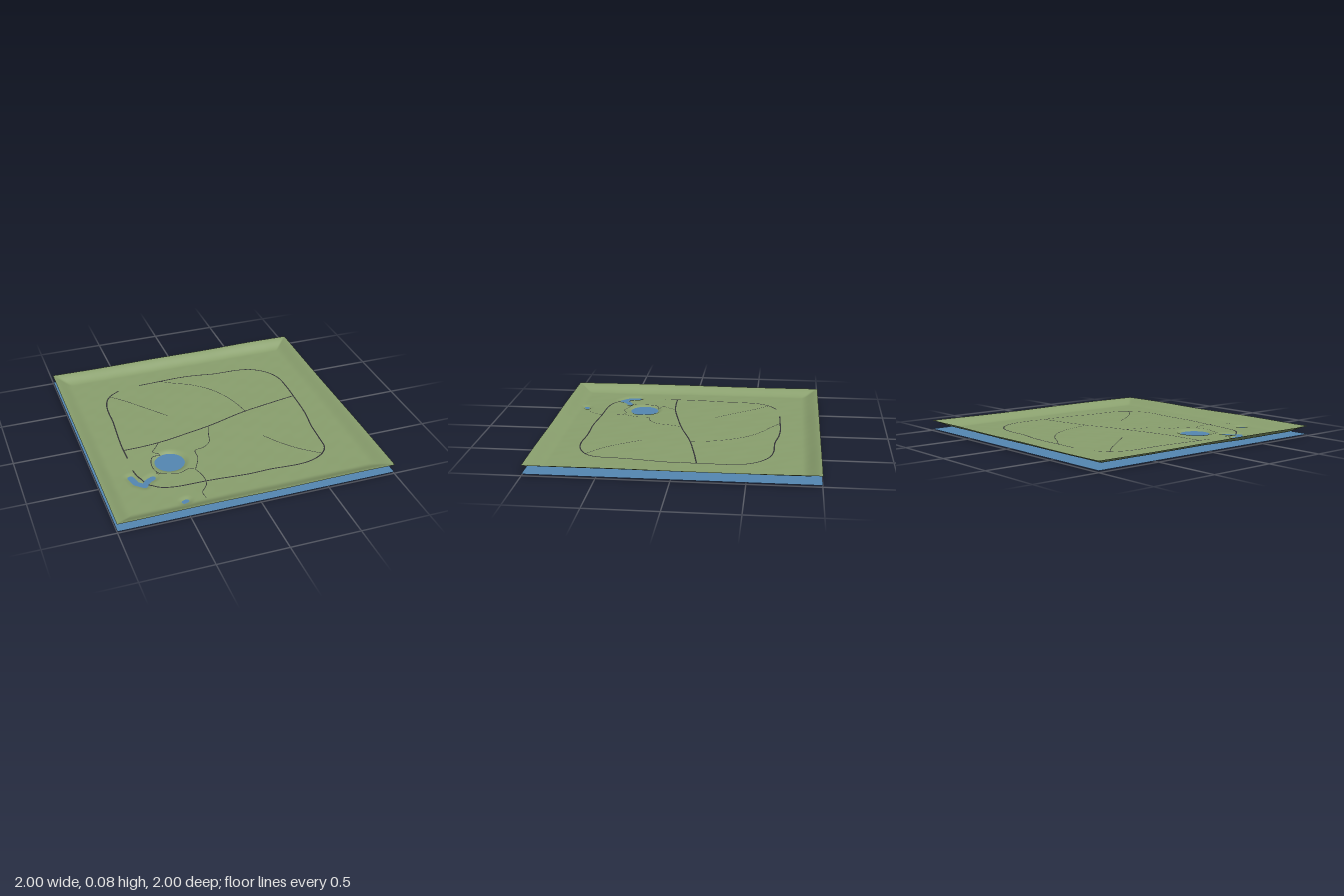
import * as THREE from 'three';

const WATER = 0.012;
const smooth = THREE.MathUtils.smoothstep;
const lerp = THREE.MathUtils.lerp;

// Distance from a point to a polyline of [x, z] points
function distanceTo(line, x, z) {
  let best = Infinity;
  for (let i = 0; i < line.length - 1; i++) {
    const [ax, az] = line[i], [bx, bz] = line[i + 1];
    const dx = bx - ax, dz = bz - az;
    const t = THREE.MathUtils.clamp(((x - ax) * dx + (z - az) * dz) / (dx * dx + dz * dz), 0, 1);
    best = Math.min(best, Math.hypot(x - ax - t * dx, z - az - t * dz));
  }
  return best;
}

const marsh = [[-0.765, 0.465], [-0.745, 0.54], [-0.695, 0.585], [-0.665, 0.54], [-0.62, 0.515]];
const puddle = [[-0.495, 0.845], [-0.475, 0.838]];

// Ground height: gentle relief, sunken ponds and a raised rim
function height(x, z) {
  let h = 0.0275 - 0.007 * smooth(-x, 0.1, 0.6) * smooth(z, 0.0, 0.5);
  h += 0.0009 * Math.sin(7 * x + 3 * z) * Math.cos(6 * z - 2 * x);
  h += 0.0005 * Math.sin(19 * x - 11 * z + 1) * Math.sin(17 * z + 5 * x);
  h += 0.0003 * Math.sin(41 * x + 13 * z) * Math.sin(37 * z - 9 * x);
  h = lerp(0, h, smooth(Math.hypot(x + 0.45, z - 0.37), 0.07, 0.145));
  h = lerp(0.008, h, smooth(distanceTo(marsh, x, z), 0, 0.06));
  h = lerp(0.009, h, smooth(distanceTo(puddle, x, z), 0, 0.055));
  const rim = 0.074 + 0.002 * Math.sin(6 * x + 4 * z)
    + 0.006 * Math.exp(-(((x - 0.6) / 0.3) ** 2)) * smooth(-z, 0.5, 1);
  return lerp(h, rim, smooth(Math.max(Math.abs(x), Math.abs(z)), 0.87, 1.01));
}

// Ribbon laid on the ground along a smooth curve
function ribbon(name, points, width, material) {
  const curve = new THREE.CatmullRomCurve3(points.map(([x, z]) => new THREE.Vector3(x, 0, z)), false, 'centripetal');
  const n = Math.ceil(curve.getLength() / 0.008);
  const pos = [], index = [];
  for (let i = 0; i <= n; i++) {
    const p = curve.getPointAt(i / n), t = curve.getTangentAt(i / n);
    for (const s of [-0.5, 0.5]) {
      const x = p.x - t.z * s * width, z = p.z + t.x * s * width;
      pos.push(x, height(x, z) + 0.0009, z);
    }
    if (i < n) {
      const a = i * 2;
      index.push(a, a + 1, a + 2, a + 1, a + 3, a + 2);
    }
  }
  const geo = new THREE.BufferGeometry();
  geo.setAttribute('position', new THREE.Float32BufferAttribute(pos, 3));
  geo.setIndex(index);
  // Wind the faces upward
  for (let i = 0; i < index.length; i += 3) {
    const [a, b, c] = index.slice(i, i + 3);
    const up = (pos[b * 3 + 2] - pos[a * 3 + 2]) * (pos[c * 3] - pos[a * 3])
      - (pos[b * 3] - pos[a * 3]) * (pos[c * 3 + 2] - pos[a * 3 + 2]);
    if (up < 0) {
      geo.index.setX(i + 1, c);
      geo.index.setX(i + 2, b);
    }
  }
  geo.computeVertexNormals();
  const mesh = new THREE.Mesh(geo, material);
  mesh.name = name;
  return mesh;
}

export function createModel() {
  const model = new THREE.Group();
  model.name = 'landscape';
  const make = (name, color) => {
    const m = new THREE.MeshStandardMaterial({ color, side: THREE.DoubleSide });
    m.name = name;
    return m;
  };
  const grass = make('grass', 0x8aa06e);
  const water = make('water', 0x5587b3);
  const asphalt = make('asphalt', 0x333336);

  // Ground sheet
  const groundGeo = new THREE.PlaneGeometry(2, 2, 200, 200).rotateX(-Math.PI / 2);
  const p = groundGeo.attributes.position;
  for (let i = 0; i < p.count; i++) p.setY(i, height(p.getX(i), p.getZ(i)));
  groundGeo.computeVertexNormals();
  const ground = new THREE.Mesh(groundGeo, grass);
  ground.name = 'ground';
  model.add(ground);

  // Water sheet showing through the hollows
  const sheet = new THREE.Mesh(new THREE.PlaneGeometry(2, 2).rotateX(-Math.PI / 2), water);
  sheet.position.y = WATER;
  sheet.name = 'waterSheet';
  model.add(sheet);

  // Main roads: outer loop in two pieces, and the crossing road
  const roads = {
    loopRoad: [[-0.37, -0.7], [-0.2, -0.705], [-0.05, -0.71], [0.1, -0.7], [0.25, -0.675], [0.45, -0.668],
      [0.56, -0.64], [0.66, -0.56], [0.715, -0.45], [0.725, -0.3], [0.72, -0.1], [0.71, 0.1], [0.68, 0.3],
      [0.67, 0.45], [0.655, 0.58], [0.6, 0.65], [0.5, 0.7], [0.4, 0.715], [0.2, 0.703], [0, 0.705],
      [-0.25, 0.685], [-0.5, 0.672], [-0.59, 0.65], [-0.65, 0.605], [-0.69, 0.53], [-0.715, 0.47], [-0.73, 0.39]],
    westRoad: [[-0.725, 0.24], [-0.727, 0.1], [-0.715, -0.1], [-0.703, -0.25], [-0.7, -0.42],
      [-0.68, -0.53], [-0.635, -0.61], [-0.55, -0.67]],
    crossRoad: [[-0.725, 0.14], [-0.6, 0.137], [-0.45, 0.125], [-0.25, 0.085], [0, 0.025],
      [0.25, -0.055], [0.5, -0.11], [0.72, -0.15]],
  };
  // Narrow footpaths
  const paths = {
    northPath: [[-0.2, -0.705], [-0.1, -0.64], [0.02, -0.57], [0.13, -0.47], [0.21, -0.34], [0.26, -0.2], [0.29, -0.06]],
    northWestPath: [[-0.64, -0.61], [-0.55, -0.52], [-0.42, -0.36], [-0.29, -0.2]],
    southEastPath: [[0.29, 0.29], [0.37, 0.41], [0.47, 0.53], [0.61, 0.645]],
    lakePath: [[-0.46, 0.125], [-0.5, 0.18], [-0.535, 0.23], [-0.49, 0.265], [-0.55, 0.28], [-0.58, 0.34],
      [-0.585, 0.43], [-0.56, 0.485], [-0.5, 0.505], [-0.43, 0.53], [-0.35, 0.505], [-0.31, 0.52]],
    eastLakePath: [[-0.05, 0.045], [-0.08, 0.14], [-0.11, 0.24], [-0.17, 0.29], [-0.24, 0.31], [-0.25, 0.4], [-0.31, 0.53]],
    southPath: [[-0.31, 0.53], [-0.285, 0.63], [-0.295, 0.72], [-0.35, 0.8], [-0.345, 0.86]],
    lakeSpur: [[-0.58, 0.47], [-0.575, 0.49], [-0.55, 0.485]],
  };
  for (const [name, pts] of Object.entries(roads)) model.add(ribbon(name, pts, 0.0095, asphalt));
  for (const [name, pts] of Object.entries(paths)) model.add(ribbon(name, pts, 0.005, asphalt));
  return model;
}
